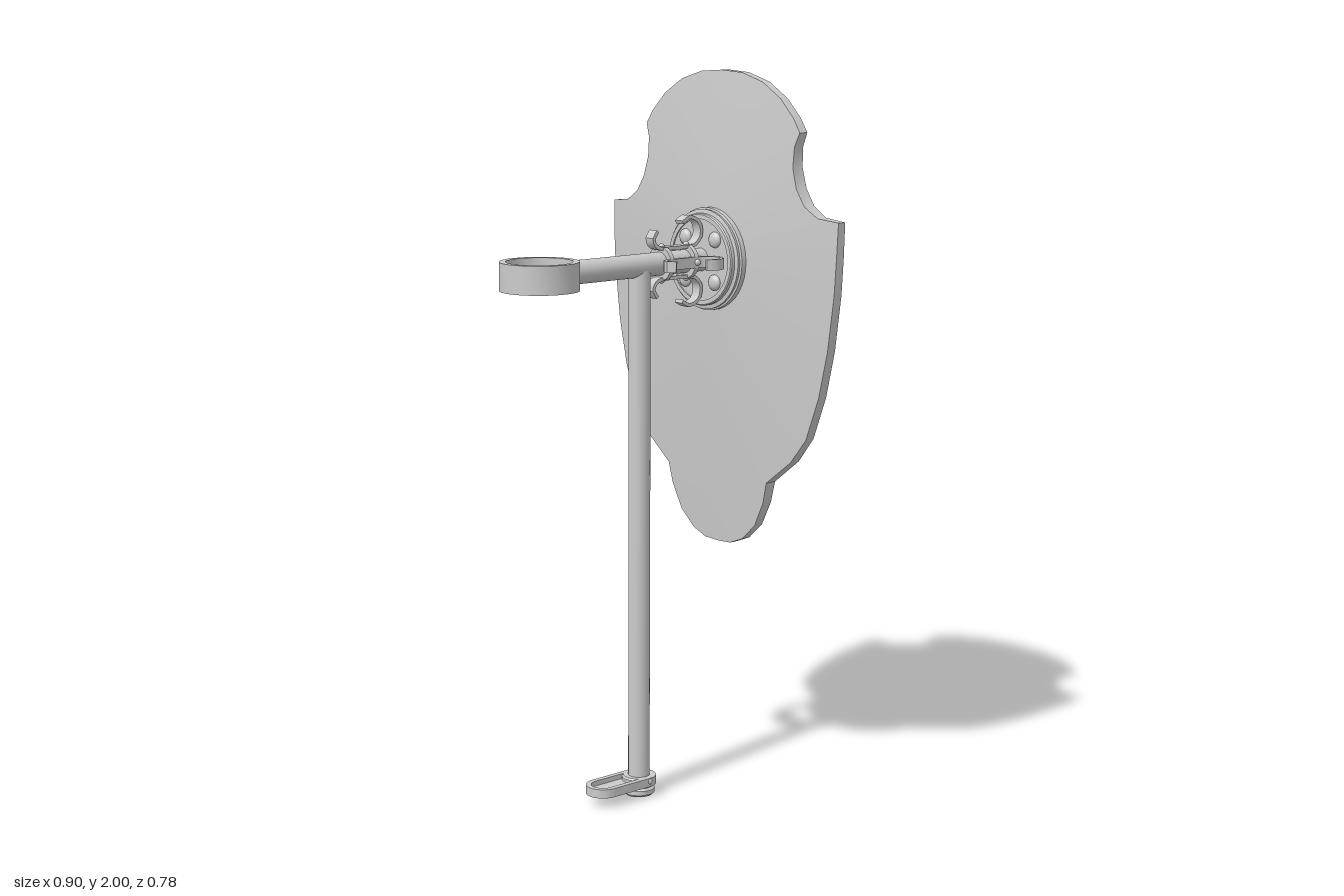
import * as THREE from 'three';
import { toCreasedNormals } from 'three/addons/utils/BufferGeometryUtils.js';

const AXIS_Y = 1.486; // height of the arm and of the hub centre
const POLE_Z = -0.066;
const grey = new THREE.MeshStandardMaterial({ color: 0xcccccc });
const openGrey = new THREE.MeshStandardMaterial({ color: 0xcccccc, side: THREE.DoubleSide });

function add(parent, name, geometry, x = 0, y = 0, z = 0, material = grey) {
  const mesh = new THREE.Mesh(geometry, material);
  mesh.name = name;
  mesh.position.set(x, y, z);
  parent.add(mesh);
  return mesh;
}

const lathe = (points, segments = 32) =>
  toCreasedNormals(new THREE.LatheGeometry(points.map(([r, y]) => new THREE.Vector2(r, y)), segments), 0.6);

// Face of the shield: a shallow dome over an egg-shaped plan
function domeZ(x, dy) {
  const e = Math.hypot(x / 0.45, dy / (dy > 0 ? 0.51 : 0.81));
  return -0.318 - 0.045 * e ** 1.3;
}

// Thin shell open at the back: rings run from the hub to the edge, then back along the rim wall
function shieldGeometry() {
  const half = [[0, 2], [0.08, 1.995], [0.16, 1.972], [0.23, 1.93], [0.28, 1.88], [0.305, 1.843],
    [0.29, 1.805], [0.289, 1.75], [0.305, 1.695], [0.335, 1.65], [0.38, 1.622], [0.449, 1.615],
    [0.446, 1.52], [0.44, 1.42], [0.42, 1.27], [0.39, 1.14], [0.345, 1.02], [0.29, 0.95], [0.2, 0.88],
    [0.185, 0.82], [0.15, 0.75], [0.1, 0.704], [0.05, 0.684], [0, 0.682]];
  const outline = [...half, ...half.slice(1, -1).reverse().map(([x, y]) => [-x, y])];
  const steps = 10, hole = 0.106, backZ = -0.39;
  const n = outline.length, pos = [], index = [];
  for (let i = 0; i <= steps + 1; i++) {
    for (const [px, py] of outline) {
      const len = Math.hypot(px, py - AXIS_Y);
      const k = THREE.MathUtils.lerp(hole, len, Math.min(i / steps, 1)) / len;
      const x = px * k, dy = (py - AXIS_Y) * k;
      pos.push(x, AXIS_Y + dy, i > steps ? backZ : domeZ(x, dy));
    }
  }
  for (let r = 0; r <= steps; r++) {
    for (let j = 0; j < n; j++) {
      const a = r * n + j, b = r * n + (j + 1) % n;
      index.push(a, b, a + n, b, b + n, a + n);
    }
  }
  const g = new THREE.BufferGeometry();
  g.setAttribute('position', new THREE.Float32BufferAttribute(pos, 3));
  g.setIndex(index);
  return toCreasedNormals(g, 0.5);
}

// Flat strip that curls outward at both ends, in the radius / z plane
function hookGeometry() {
  const path = [[0.108, -0.21], [0.121, -0.238], [0.106, -0.271], [0.072, -0.279], [0.047, -0.26],
    [0.041, -0.23], [0.041, -0.145], [0.048, -0.117], [0.068, -0.105], [0.09, -0.119]];
  const curve = new THREE.SplineCurve(path.map(([r, z]) => new THREE.Vector2(r, z)));
  const left = [], right = [], count = 20;
  for (let i = 0; i <= count; i++) {
    const p = curve.getPoint(i / count), t = curve.getTangent(i / count);
    const off = new THREE.Vector2(-t.y, t.x).multiplyScalar(0.005);
    left.push(p.clone().add(off));
    right.unshift(p.clone().sub(off));
  }
  const g = new THREE.ExtrudeGeometry(new THREE.Shape([...left, ...right]), { depth: 0.03, bevelEnabled: false });
  g.translate(0, 0, -0.015).rotateX(Math.PI / 2);
  return toCreasedNormals(g, 0.6);
}

// Stadium outline in x / z, from the pole to the front tip
function stadium(Type, r, z0, z1) {
  const s = new Type();
  s.absarc(0, z1, r, 0, Math.PI, false);
  s.absarc(0, z0, r, Math.PI, Math.PI * 2, false);
  s.closePath();
  return s;
}

function slab(shape, depth, y) {
  const g = new THREE.ExtrudeGeometry(shape, { depth, bevelEnabled: false, curveSegments: 16 });
  g.rotateX(Math.PI / 2).translate(0, y + depth, 0);
  return toCreasedNormals(g, 0.6);
}

export function createModel() {
  const model = new THREE.Group();
  model.name = 'shieldStand';

  // Pole, arm and holding ring
  add(model, 'pole', new THREE.CylinderGeometry(0.03, 0.03, 1.465, 24), 0, 0.7425, POLE_Z);
  add(model, 'arm', new THREE.CylinderGeometry(0.032, 0.032, 0.475, 24).rotateX(Math.PI / 2), 0, AXIS_Y, -0.0575);
  add(model, 'holdingRing', lathe([[0.088, -0.038], [0.106, -0.038], [0.106, 0.038], [0.088, 0.038], [0.088, -0.038]], 24),
    0, AXIS_Y, 0.281);

  // Foot: collars round the pole and a dished tongue
  add(model, 'footCollar', lathe([[0, 0], [0.038, 0], [0.044, 0.006], [0.044, 0.018], [0.038, 0.024], [0.038, 0.03],
    [0.046, 0.032], [0.048, 0.037], [0.048, 0.05], [0.044, 0.055], [0.029, 0.055]]), 0, 0, POLE_Z);
  const rim = stadium(THREE.Shape, 0.048, POLE_Z, 0.066);
  rim.holes.push(stadium(THREE.Path, 0.033, POLE_Z, 0.066));
  add(model, 'tongueRim', slab(rim, 0.025, 0.03));
  add(model, 'tongueFloor', slab(stadium(THREE.Shape, 0.04, POLE_Z, 0.066), 0.01, 0.031));
  for (const s of [-1, 1])
    add(model, 'footBolt', new THREE.SphereGeometry(0.01, 12, 8), s * 0.042, 0.045, POLE_Z);

  // Shield and stepped hub with a bored back
  add(model, 'shield', shieldGeometry(), 0, 0, 0, openGrey);
  const hub = lathe([[0.033, -0.3], [0.033, -0.326], [0.142, -0.326], [0.142, -0.311], [0.136, -0.309],
    [0.138, -0.306], [0.138, -0.3], [0.127, -0.298], [0.127, -0.288], [0.124, -0.285], [0.112, -0.285],
    [0.112, -0.289], [0, -0.289]], 40);
  add(model, 'hub', hub.rotateX(Math.PI / 2), 0, AXIS_Y, 0);
  add(model, 'boreFloor', new THREE.CylinderGeometry(0.036, 0.036, 0.01, 24).rotateX(Math.PI / 2), 0, AXIS_Y, -0.302);
  for (let i = 0; i < 4; i++) {
    const a = Math.PI / 4 + i * Math.PI / 2;
    const x = 0.083 * Math.cos(a), y = AXIS_Y + 0.083 * Math.sin(a);
    add(model, 'hubRivet', new THREE.SphereGeometry(0.022, 16, 10), x, y, -0.288).scale.z = 0.6;
    add(model, 'rivetBack', new THREE.SphereGeometry(0.008, 10, 6), x, y, -0.326).scale.z = 0.3;
  }

  // Four curled hooks bound to the arm by two bands
  const bands = [-0.235, -0.145];
  for (const z of bands)
    add(model, 'band', new THREE.CylinderGeometry(0.047, 0.047, 0.014, 24).rotateX(Math.PI / 2), 0, AXIS_Y, z);
  const hook = hookGeometry();
  for (let i = 0; i < 4; i++) {
    const group = new THREE.Group();
    group.name = 'hookAssembly';
    group.position.y = AXIS_Y;
    group.rotation.z = i * Math.PI / 2;
    add(group, 'hook', hook);
    for (const z of bands) add(group, 'bandBolt', new THREE.SphereGeometry(0.009, 12, 8), 0.046, 0, z);
    model.add(group);
  }
  return model;
}
